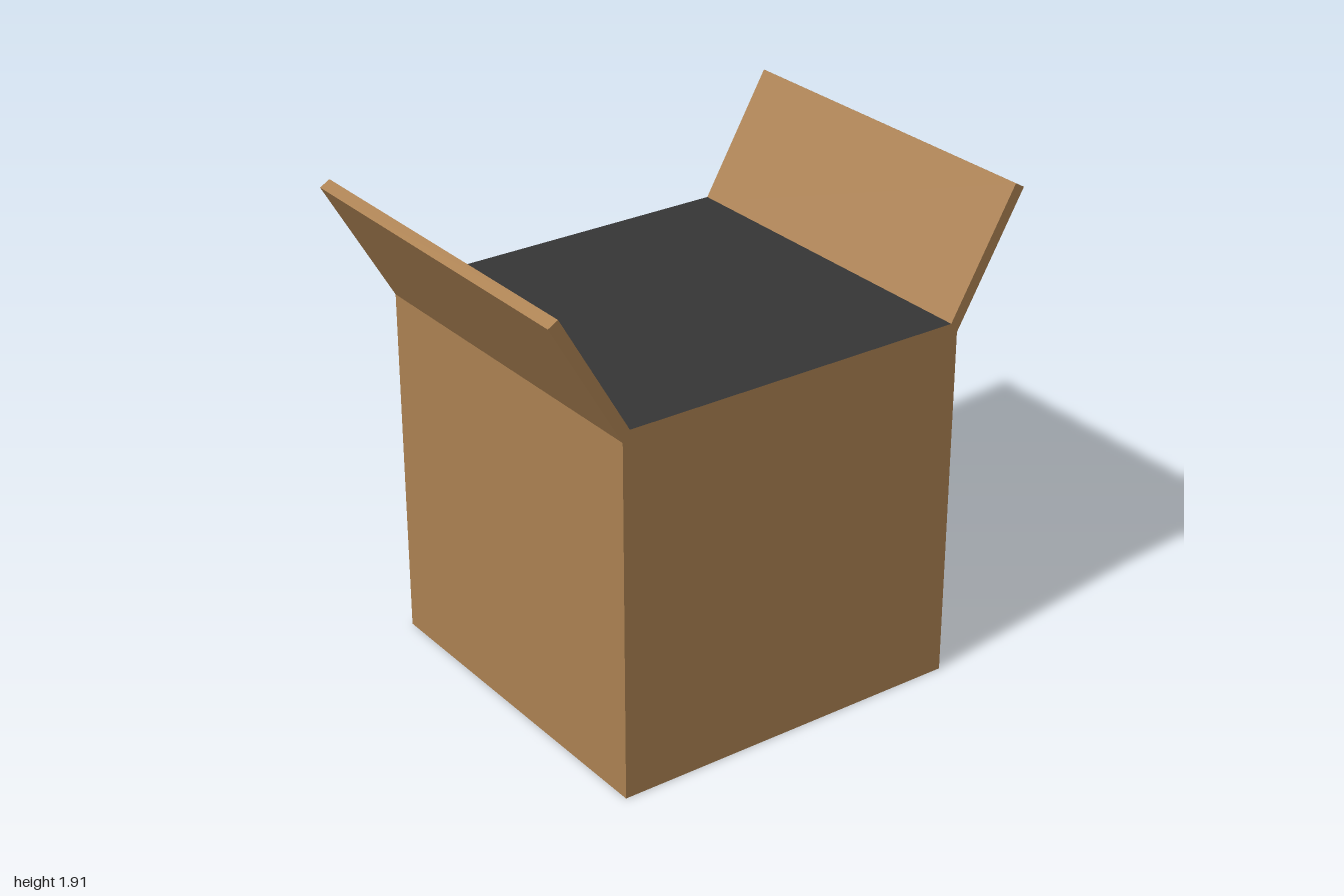
import * as THREE from 'three';

const SIZE = 1.44;        // edge of the cubic body
const FLAP_LENGTH = 0.56;
const FLAP_THICK = 0.045;
const HINGE_Y = 1.4;

export function createModel() {
  const model = new THREE.Group();
  model.name = 'openBox';

  const cardboard = new THREE.MeshStandardMaterial({ color: 0xab8152 });
  cardboard.name = 'cardboard';
  const darkInside = new THREE.MeshStandardMaterial({ color: 0x363636 });
  darkInside.name = 'darkInside';

  // Body: cardboard on every side, with a dark opening as its top face
  const body = new THREE.Mesh(
    new THREE.BoxGeometry(SIZE, SIZE, SIZE),
    [cardboard, cardboard, darkInside, cardboard, cardboard, cardboard]
  );
  body.name = 'boxBody';
  body.position.y = SIZE / 2;
  model.add(body);

  // Flaps: origin on the outer hinge edge, tilted outward by 30 degrees
  const flapGeometry = new THREE.BoxGeometry(SIZE, FLAP_LENGTH, FLAP_THICK);
  flapGeometry.translate(0, FLAP_LENGTH / 2, -FLAP_THICK / 2);
  for (const [name, turn] of [['frontFlap', 0], ['backFlap', Math.PI]]) {
    const hinge = new THREE.Group();
    hinge.name = name;
    hinge.rotation.y = turn;
    const flap = new THREE.Mesh(flapGeometry, cardboard);
    flap.name = name + 'Panel';
    flap.position.set(0, HINGE_Y, SIZE / 2);
    flap.rotation.x = Math.PI / 6;
    hinge.add(flap);
    model.add(hinge);
  }

  return model;
}
